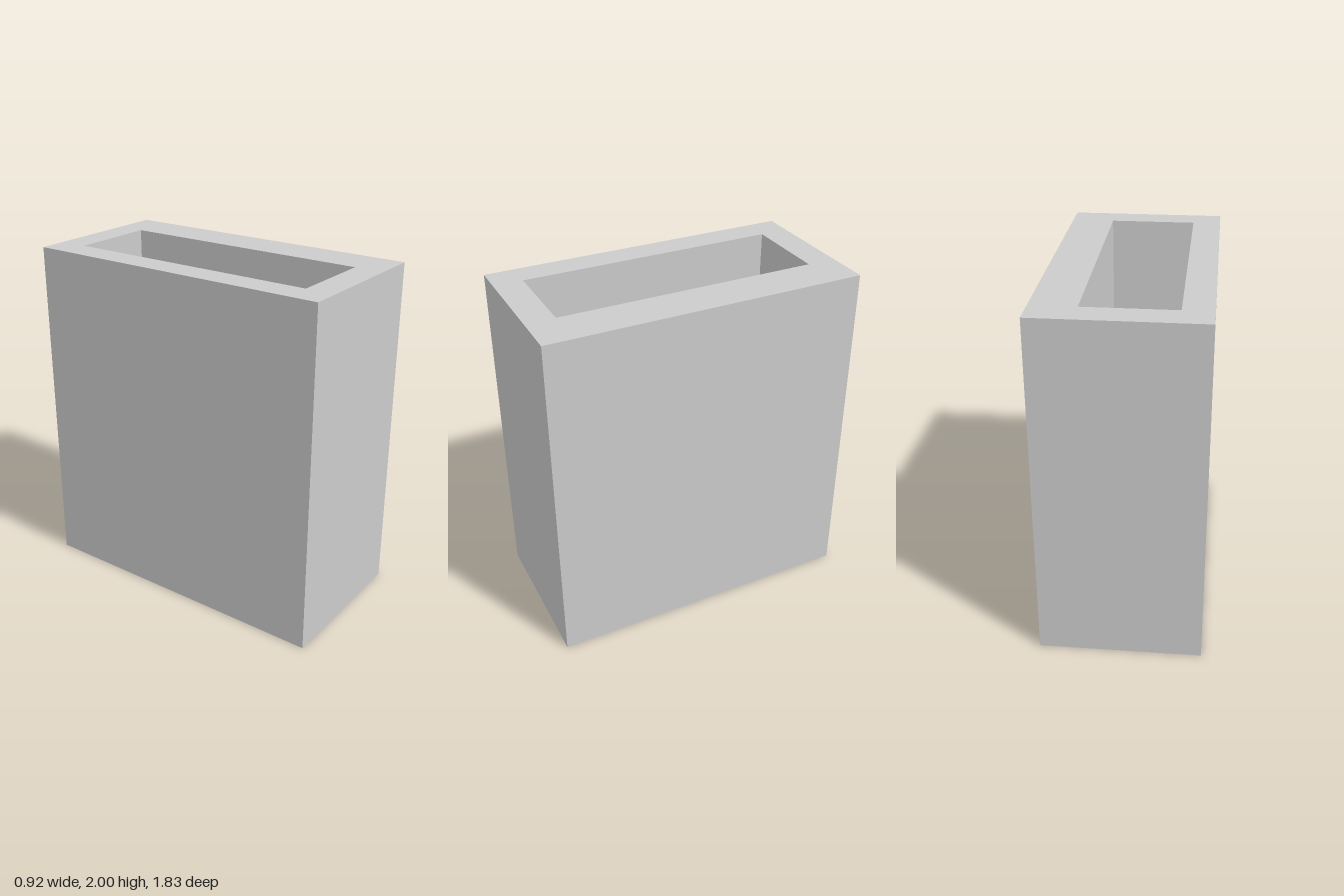
import * as THREE from 'three';

// Adds a closed rectangle to a shape or path
function rectangle(path, x0, x1, z0, z1) {
  path.moveTo(x0, z0);
  path.lineTo(x1, z0);
  path.lineTo(x1, z1);
  path.lineTo(x0, z1);
  path.closePath();
  return path;
}

export function createModel() {
  const group = new THREE.Group();
  group.name = 'rectangularSleeve';

  // Outer footprint with an off-centre slot running right through
  const footprint = rectangle(new THREE.Shape(), -0.458, 0.458, -0.915, 0.915);
  footprint.holes.push(rectangle(new THREE.Path(), -0.294, 0.208, -0.748, 0.748));

  // Extruded upright, standing on the ground
  const geometry = new THREE.ExtrudeGeometry(footprint, { depth: 2, bevelEnabled: false });
  geometry.rotateX(-Math.PI / 2);

  const walls = new THREE.Mesh(
    geometry,
    new THREE.MeshStandardMaterial({ color: 0xcccccc, flatShading: true })
  );
  walls.name = 'sleeveWalls';
  group.add(walls);
  return group;
}
